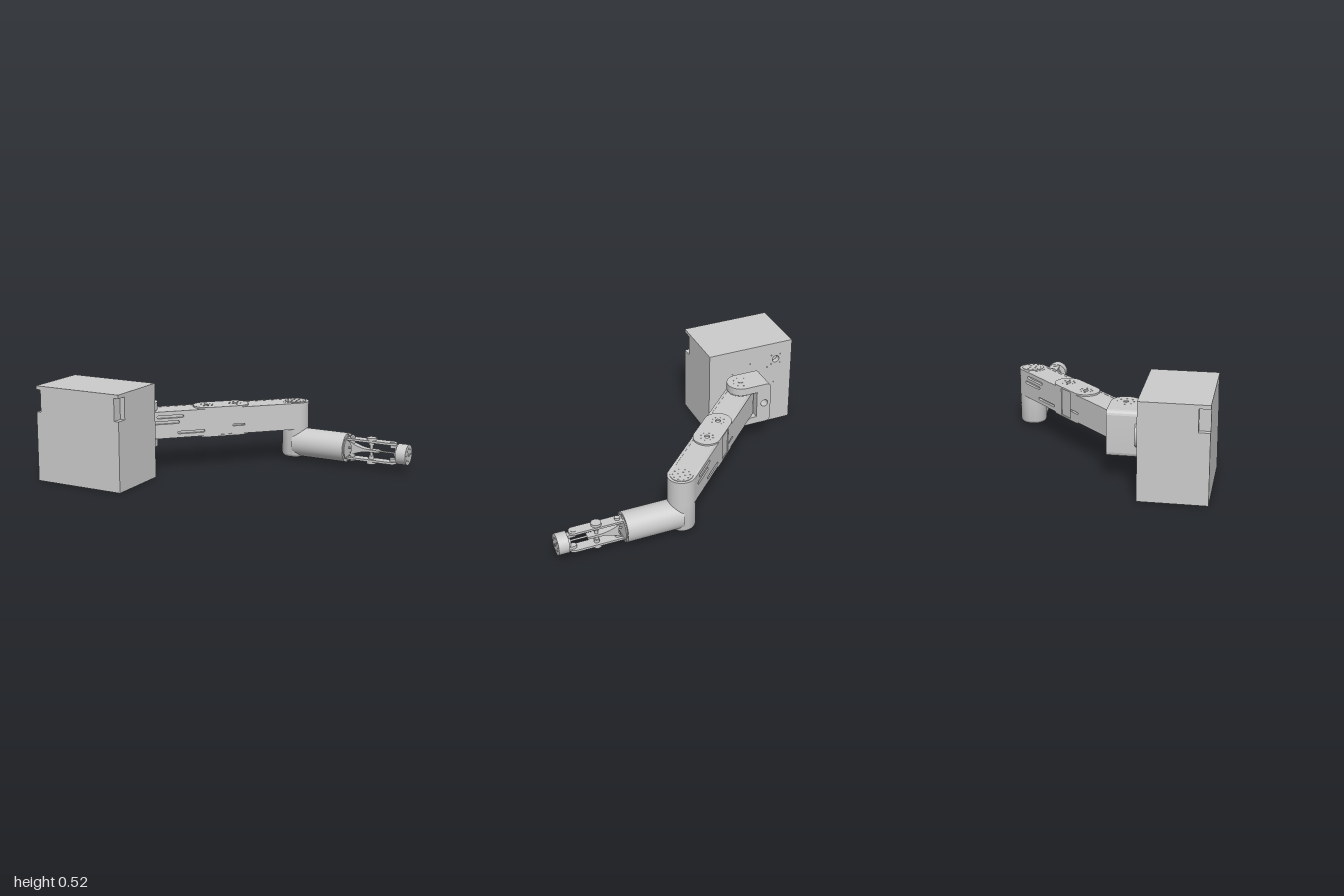
import * as THREE from 'three';
import { toCreasedNormals } from 'three/addons/utils/BufferGeometryUtils.js';

const material = new THREE.MeshStandardMaterial({ color: 0xcccccc });

function add(parent, name, geometry, x = 0, y = 0, z = 0) {
  const mesh = new THREE.Mesh(geometry, material);
  mesh.name = name;
  mesh.position.set(x, y, z);
  parent.add(mesh);
  return mesh;
}

function group(parent, name, x, z, angle) {
  const g = new THREE.Group();
  g.name = name;
  g.position.set(x, 0, z);
  g.rotation.y = angle;
  parent.add(g);
  return g;
}

const box = (parent, name, x0, x1, y0, y1, z0, z1) =>
  add(parent, name, new THREE.BoxGeometry(x1 - x0, y1 - y0, z1 - z0), (x0 + x1) / 2, (y0 + y1) / 2, (z0 + z1) / 2);

// Cylinders along each axis
const post = (parent, name, x, z, y0, y1, r) =>
  add(parent, name, new THREE.CylinderGeometry(r, r, y1 - y0, r > 0.02 ? 48 : 16), x, (y0 + y1) / 2, z);
const rodX = (parent, name, x0, x1, y, z, r) =>
  add(parent, name, new THREE.CylinderGeometry(r, r, x1 - x0, r > 0.02 ? 48 : 16).rotateZ(-Math.PI / 2), (x0 + x1) / 2, y, z);

const extrude = (shape, depth) =>
  toCreasedNormals(new THREE.ExtrudeGeometry(shape, { depth, bevelEnabled: false, curveSegments: 24 }), 0.6);

// Shape drawn in the ground plane and raised from y0 to y1
const plan = (parent, name, shape, y0, y1) =>
  add(parent, name, extrude(shape, y1 - y0).rotateX(-Math.PI / 2), 0, y0, 0);
// Shape drawn upright and pushed from z0 to z1
const upright = (parent, name, shape, z0, z1) => add(parent, name, extrude(shape, z1 - z0), 0, 0, z0);

function roundRect(x0, x1, y0, y1, r, Type = THREE.Shape) {
  const s = new Type();
  s.moveTo(x0 + r, y0);
  s.lineTo(x1 - r, y0);
  s.absarc(x1 - r, y0 + r, r, -Math.PI / 2, 0);
  s.lineTo(x1, y1 - r);
  s.absarc(x1 - r, y1 - r, r, 0, Math.PI / 2);
  s.lineTo(x0 + r, y1);
  s.absarc(x0 + r, y1 - r, r, Math.PI / 2, Math.PI);
  s.lineTo(x0, y0 + r);
  s.absarc(x0 + r, y0 + r, r, Math.PI, Math.PI * 1.5);
  return s;
}

function hole(x, y, r) {
  const p = new THREE.Path();
  p.absarc(x, y, r, 0, Math.PI * 2, true);
  return p;
}

// Ring of small bolts standing on a horizontal face
function boltRing(parent, x, z, y, radius, count) {
  for (let i = 0; i < count; i++) {
    const a = (i / count) * Math.PI * 2;
    post(parent, 'bolt', x + Math.cos(a) * radius, z + Math.sin(a) * radius, y - 0.002, y + 0.002, 0.004);
  }
}

function buildBase(g) {
  // Cabinet in three layers, the middle one notched for the handles
  const x0 = -0.3725, x1 = 0.1425, z0 = 0.138, z1 = 0.462;
  box(g, 'cabinetLower', x0, x1, 0, 0.377, z0, z1);
  box(g, 'cabinetUpper', x0, x1, 0.497, 0.517, z0, z1);
  box(g, 'cabinetMiddle', x0, x1, 0.377, 0.497, z0, z1 - 0.058);
  box(g, 'cabinetHandleWall', x0 + 0.027, x1 - 0.027, 0.377, 0.497, z1 - 0.058, z1);

  // Mounting face with cable hole and screw holes
  const face = new THREE.Shape([[x0, 0], [x1, 0], [x1, 0.517], [x0, 0.517]].map(p => new THREE.Vector2(...p)));
  face.holes.push(hole(-0.273, 0.412, 0.021));
  for (const sx of [-1, 1]) for (const sy of [-1, 1]) face.holes.push(hole(-0.273 + sx * 0.028, 0.412 + sy * 0.028, 0.003));
  for (let i = 0; i < 8; i++) {
    const a = (i / 8) * Math.PI * 2;
    face.holes.push(hole(-0.11 + Math.cos(a) * 0.155, 0.26 + Math.sin(a) * 0.155, 0.003));
  }
  upright(g, 'cabinetMountingFace', face, 0.108, z0);
}

function buildShoulder(g) {
  for (const [r, z0, z1] of [[0.092, 0.092, 0.11], [0.075, 0.07, 0.095]]) {
    const flange = new THREE.CylinderGeometry(r, r, z1 - z0, 48).rotateX(Math.PI / 2);
    add(g, 'shoulderFlange', flange, -0.11, 0.26, (z0 + z1) / 2);
  }
  // C-shaped bracket: back wall plus two fork plates
  const wall = roundRect(-0.153, -0.068, 0.137, 0.383, 0.025);
  wall.holes.push(hole(-0.115, 0.26, 0.021));
  upright(g, 'shoulderBracketWall', wall, -0.078, 0.078);
  const plate = new THREE.Shape();
  plate.moveTo(-0.12, -0.078);
  plate.lineTo(0, -0.078);
  plate.absarc(0, 0, 0.078, -Math.PI / 2, Math.PI / 2);
  plate.lineTo(-0.12, 0.078);
  plan(g, 'shoulderForkBottom', plate, 0.137, 0.18);
  plan(g, 'shoulderForkTop', plate, 0.34, 0.383);
  post(g, 'shoulderPivot', 0, 0, 0.17, 0.35, 0.05);
  post(g, 'shoulderPivotCap', 0, 0, 0.38, 0.386, 0.014);
  boltRing(g, 0, 0, 0.383, 0.042, 8);
}

// One arm link, drawn from its hub at x = -0.4425 to its elbow end at x = -0.0425
function buildLink(g) {
  const x0 = -0.4425, x1 = -0.0425;
  post(g, 'linkHub', x0, 0, 0.185, 0.335, 0.075);
  box(g, 'linkCore', x0, x1, 0.186, 0.334, -0.06, 0.06);
  for (const front of [true, false]) {
    const skin = roundRect(x0, x1, 0.185, 0.335, 0.0005);
    const slots = front
      ? [[-0.383, -0.233, 0.305, 0.008], [-0.403, -0.258, 0.273, 0.008], [-0.268, -0.113, 0.213, 0.007]]
      : [[-0.1175, -0.0475, 0.235, 0.005]];
    for (const [a, b, y, r] of slots) skin.holes.push(roundRect(a, b, y - r, y + r, r * 0.98, THREE.Path));
    upright(g, 'linkSidePanel', skin, front ? 0.06 : -0.075, front ? 0.075 : -0.06);
  }
}

function buildElbowJoint(g) {
  box(g, 'elbowSpacer', -0.045, 0.045, 0.186, 0.334, -0.07, 0.07);
  for (const [y0, y1] of [[0.177, 0.186], [0.334, 0.343]]) {
    const cover = roundRect(-0.1575, 0.1575, -0.075, 0.075, 0.0749);
    for (const x of [-0.0825, 0.0825]) cover.holes.push(hole(x, 0, 0.014));
    plan(g, 'elbowCover', cover, y0, y1);
    for (const x of [-0.0825, 0.0825]) boltRing(g, x, 0, y0 > 0.3 ? y1 : y0, 0.034, 8);
  }
}

function buildForearm(g) {
  // Upright wrist housing with rounded base and a recess underneath
  const profile = [[0, 0.045], [0.028, 0.045], [0.028, 0.018], [0.053, 0.018], [0.063, 0.021],
    [0.07, 0.028], [0.073, 0.038], [0.073, 0.187], [0, 0.187]].map(p => new THREE.Vector2(...p));
  add(g, 'forearmKnuckle', toCreasedNormals(new THREE.LatheGeometry(profile, 48), 0.6));
  rodX(g, 'forearmBarrel', 0.015, 0.325, 0.1, 0, 0.082);
  rodX(g, 'forearmEndCap', 0.32, 0.331, 0.1, 0, 0.066);
  for (let i = 0; i < 8; i++) {
    const a = (i / 8) * Math.PI * 2;
    rodX(g, 'bolt', 0.32, 0.329, 0.1 + Math.cos(a) * 0.074, Math.sin(a) * 0.074, 0.004);
  }
}

function buildWrist(g) {
  // Mirrored rails, pins and lugs above and below the axis
  for (const s of [-1, 1]) {
    const pin = (name, x, a, b, r) => post(g, name, x, 0, 0.1 + Math.min(s * a, s * b), 0.1 + Math.max(s * a, s * b), r);
    const rail = roundRect(0.3, 0.615, -0.029, 0.029, 0.028);
    plan(g, 'wristRail', rail, 0.1 + s * 0.054 - 0.006, 0.1 + s * 0.054 + 0.006);
    pin('rearPinHead', 0.355, 0.025, 0.073, 0.014);
    pin('middlePinHead', 0.468, 0.058, 0.074, 0.027);
    pin('middlePinCollar', 0.468, 0.03, 0.05, 0.015);
    pin('frontPin', 0.589, 0.03, 0.062, 0.014);
    box(g, 'wristLug', 0.585, 0.632, 0.1 + s * 0.038 - 0.008, 0.1 + s * 0.038 + 0.008, -0.016, 0.016);
  }
  post(g, 'middlePin', 0.468, 0, 0.06, 0.14, 0.009);
  post(g, 'rearPin', 0.355, 0, 0.06, 0.14, 0.007);

  // Flared central yoke narrowing toward the hand
  const yoke = new THREE.Shape();
  yoke.moveTo(0.335, 0.052);
  yoke.quadraticCurveTo(0.39, 0.091, 0.46, 0.093);
  yoke.lineTo(0.52, 0.094);
  yoke.lineTo(0.52, 0.106);
  yoke.lineTo(0.46, 0.107);
  yoke.quadraticCurveTo(0.39, 0.109, 0.335, 0.148);
  yoke.quadraticCurveTo(0.375, 0.1, 0.335, 0.052);
  upright(g, 'centralYoke', yoke, -0.02, 0.02);
  rodX(g, 'driveRod', 0.33, 0.63, 0.1, 0, 0.005);

  // Tool flange
  rodX(g, 'toolFlangeNeck', 0.612, 0.63, 0.1, 0, 0.03);
  rodX(g, 'toolFlange', 0.627, 0.684, 0.1, 0, 0.057);
  rodX(g, 'toolFlangeBoss', 0.68, 0.687, 0.1, 0, 0.009);
  for (let i = 0; i < 8; i++) {
    const a = (i / 8) * Math.PI * 2;
    rodX(g, 'bolt', 0.68, 0.686, 0.1 + Math.cos(a) * 0.036, Math.sin(a) * 0.036, 0.004);
  }
}

export function createModel() {
  const model = new THREE.Group();
  model.name = 'robotArm';
  const armZ = -0.17, mid = 0.0325;

  buildBase(group(model, 'base', -0.41, armZ, -Math.PI / 4));
  buildShoulder(group(model, 'shoulder', -0.41, armZ, -Math.PI / 4));
  buildLink(group(model, 'innerLink', mid, armZ, 0));
  buildLink(group(model, 'outerLink', mid, armZ, Math.PI));
  buildElbowJoint(group(model, 'elbowJoint', mid, armZ, 0));

  const hub = group(model, 'wristHub', 0.475, armZ, 0);
  post(hub, 'hubDisc', 0, 0, 0.33, 0.338, 0.06);
  boltRing(hub, 0, 0, 0.338, 0.045, 10);
  boltRing(hub, 0, 0, 0.338, 0.02, 4);

  buildForearm(group(model, 'forearm', 0.475, armZ, -Math.PI / 4));
  buildWrist(group(model, 'wrist', 0.475, armZ, -Math.PI / 4));
  return model;
}
